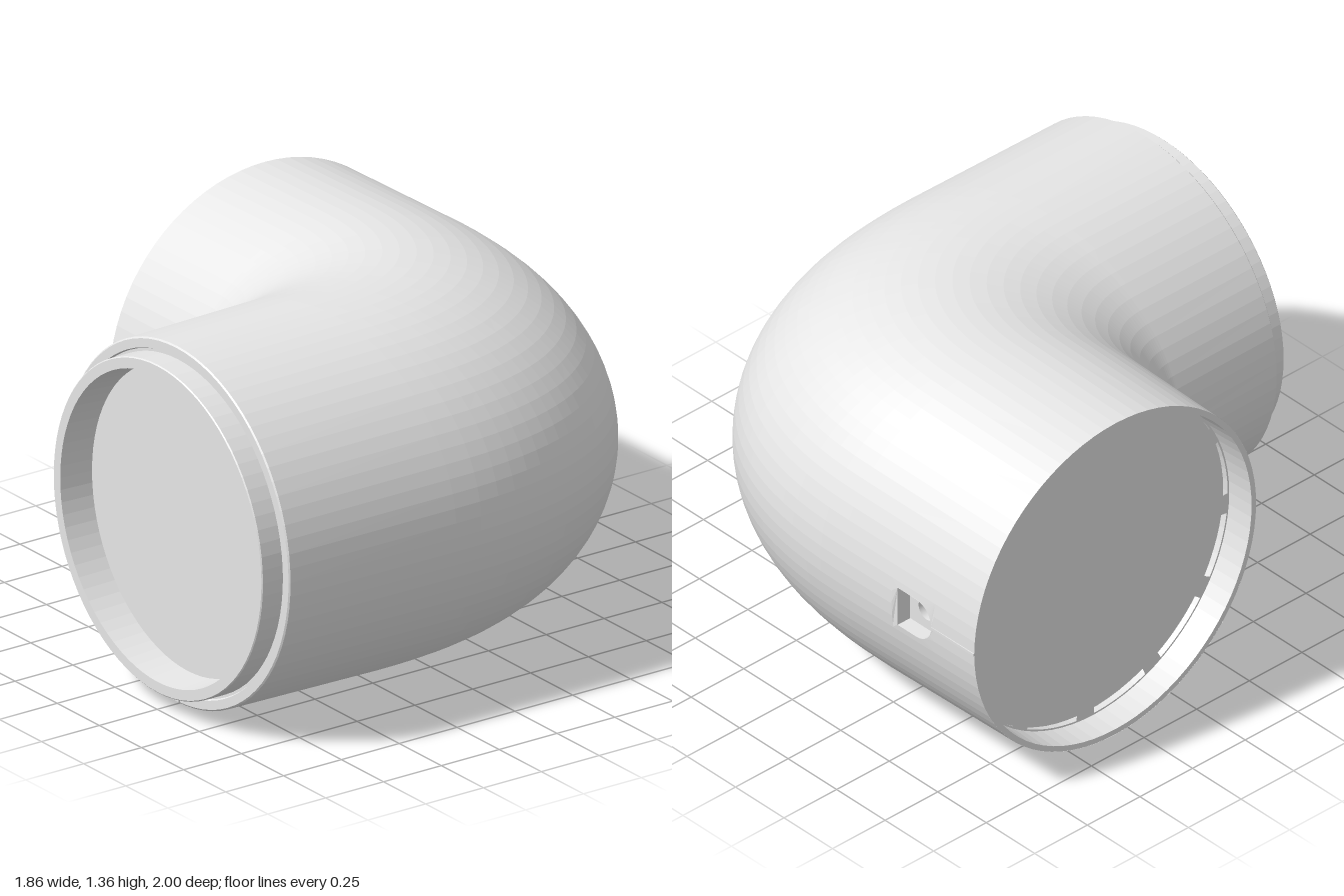
import * as THREE from 'three';

const plastic = new THREE.MeshStandardMaterial({ color: 0xe6e6e6, side: THREE.DoubleSide });
plastic.name = 'light grey plastic';

const CY = 0.6875;     // height of the pipe axis
const SOCKET_Z = -0.3225; // axis of the side end
const SPIGOT_X = 0.2525;  // axis of the front end
const SEG = 80;

const lerp = (a, b, t) => a + (b - a) * t;

function faceted(geometry) {
  const g = geometry.index ? geometry.toNonIndexed() : geometry;
  g.computeVertexNormals();
  return g;
}

function add(group, name, geometry) {
  const mesh = new THREE.Mesh(geometry, plastic);
  mesh.name = name;
  group.add(mesh);
  return mesh;
}

function lathe(points) {
  return faceted(new THREE.LatheGeometry(points.map(p => new THREE.Vector2(...p)), SEG));
}

// Each station is an inner point, an outer point and a vertical radius.
function elbowStations() {
  const list = [];
  for (const v of [0, 0.31, 0.62]) {
    list.push({
      ix: lerp(-0.93, -0.53, v), iz: lerp(0.347, 0.355, v),
      ox: lerp(-0.93, -0.25, v), oz: lerp(-0.992, -1, v), ry: lerp(0.67, 0.682, v),
    });
  }
  // the outer bend is a slightly squared ellipse, the inner bend a tight fillet
  const n = 28, power = 2 / 2.4;
  for (let i = 0; i <= n; i++) {
    const a = (i / n) * Math.PI / 2, s = Math.sin(a), c = Math.max(0, Math.cos(a));
    list.push({
      ix: -0.53 + 0.105 * s, iz: 0.46 - 0.105 * c,
      ox: -0.25 + 1.18 * s ** power, oz: 0.2 - 1.2 * c ** power, ry: 0.682,
    });
  }
  list.push({ ix: -0.42, iz: 0.915, ox: 0.925, oz: 0.915, ry: 0.6725 });
  return list;
}

function elbowGeometry() {
  const stations = elbowStations(), pos = [], index = [];
  for (const s of stations) {
    for (let j = 0; j < SEG; j++) {
      const a = (j / SEG) * Math.PI * 2, k = Math.cos(a) / 2;
      pos.push((s.ix + s.ox) / 2 + (s.ox - s.ix) * k,
        CY + s.ry * Math.sin(a),
        (s.iz + s.oz) / 2 + (s.oz - s.iz) * k);
    }
  }
  for (let i = 0; i < stations.length - 1; i++) {
    for (let j = 0; j < SEG; j++) {
      // leave an opening for the screw pocket panel
      if (i === 1 && (j < 2 || j >= SEG - 2)) continue;
      const j2 = (j + 1) % SEG;
      const a = i * SEG + j, b = i * SEG + j2, c = a + SEG, d = b + SEG;
      index.push(a, b, c, b, d, c);
    }
  }
  const g = new THREE.BufferGeometry();
  g.setAttribute('position', new THREE.Float32BufferAttribute(pos, 3));
  g.setIndex(index);
  return faceted(g);
}

// U-shaped outline, flat toward the bend and round toward the rim
function pocketPath(Type) {
  const p = new Type();
  p.moveTo(-0.535, -0.08);
  p.lineTo(-0.535, 0.08);
  p.lineTo(-0.63, 0.08);
  p.absarc(-0.63, 0, 0.08, Math.PI / 2, Math.PI * 1.5, false);
  p.lineTo(-0.535, -0.08);
  return p;
}

function screwPocket() {
  const group = new THREE.Group();
  group.name = 'screwPocket';

  // curved panel filling the opening in the pipe wall
  const outline = new THREE.Shape();
  const h = 0.106;
  outline.moveTo(-0.722, -h);
  for (const y of [-h, -0.053, 0, 0.053, h]) outline.lineTo(-0.505, y);
  for (const y of [h, 0.053, 0, -0.053]) outline.lineTo(-0.722, y);
  outline.holes.push(pocketPath(THREE.Path));
  const panel = new THREE.ShapeGeometry(outline, 12);
  const p = panel.attributes.position;
  for (let i = 0; i < p.count; i++) {
    const r = lerp(0.6695, 0.6775, (p.getX(i) + 0.93) / 0.68);
    p.setZ(i, -Math.sqrt(r * r - p.getY(i) ** 2));
  }
  add(group, 'pocketPanel', faceted(panel));

  // pocket walls
  const pts = pocketPath(THREE.Shape).getPoints(12), wall = [];
  for (let i = 0; i < pts.length - 1; i++) {
    const a = pts[i], b = pts[i + 1], top = -0.67, low = -0.61;
    wall.push(a.x, a.y, top, b.x, b.y, top, a.x, a.y, low,
      b.x, b.y, top, b.x, b.y, low, a.x, a.y, low);
  }
  const walls = new THREE.BufferGeometry();
  walls.setAttribute('position', new THREE.Float32BufferAttribute(wall, 3));
  add(group, 'pocketWalls', faceted(walls));

  // pocket floor with a bored screw hole
  const floor = pocketPath(THREE.Shape);
  floor.holes.push(new THREE.Path().absarc(-0.62, 0, 0.042, 0, Math.PI * 2, true));
  add(group, 'pocketFloor', new THREE.ShapeGeometry(floor, 12)).position.z = -0.61;
  const bore = lathe([[0.042, 0], [0.042, 0.06], [0, 0.06]]);
  bore.rotateX(Math.PI / 2);
  add(group, 'screwBore', bore).position.set(-0.62, 0, -0.61);

  // fine seam running from the pocket to the rim
  const seam = add(group, 'wallSeam', new THREE.BoxGeometry(0.22, 0.01, 0.009));
  seam.position.set(-0.82, 0, -0.6695);

  group.position.set(0, CY, SOCKET_Z);
  return group;
}

// Side end: thin rim, recessed slotted plate and a floor behind it
function socketEnd() {
  const group = new THREE.Group();
  group.name = 'socketEnd';
  const rim = lathe([[0.6695, 0.93], [0.648, 0.93], [0.642, 0.79], [0, 0.79]]);
  rim.rotateZ(Math.PI / 2);
  add(group, 'socketRim', rim);

  const plate = new THREE.Shape().absarc(0, 0, 0.643, 0, Math.PI * 2, false);
  const slots = 12;
  for (let i = 0; i < slots; i++) {
    const a = (i / slots) * Math.PI * 2, b = a + Math.PI * 2 / slots * 0.75;
    const slot = new THREE.Path();
    slot.absarc(0, 0, 0.636, a, b, false);
    slot.absarc(0, 0, 0.605, b, a, true);
    slot.closePath();
    plate.holes.push(slot);
  }
  const disc = new THREE.ShapeGeometry(plate, 40);
  disc.rotateY(-Math.PI / 2);
  add(group, 'slottedPlate', disc).position.x = -0.82;
  group.position.set(0, CY, SOCKET_Z);
  return group;
}

// Front end: shoulder, shallow groove, flat-rimmed spigot and recessed closing plate
function spigotEnd() {
  const group = new THREE.Group();
  group.name = 'spigotEnd';
  const spigot = lathe([
    [0.6725, 0.915], [0.667, 0.92], [0.634, 0.92], [0.63, 0.91], [0.62, 0.91],
    [0.62, 0.996], [0.616, 1], [0.5775, 1], [0.5675, 0.87], [0, 0.87],
  ]);
  spigot.rotateX(Math.PI / 2);
  add(group, 'spigot', spigot);
  const key = add(group, 'alignmentKey', new THREE.BoxGeometry(0.045, 0.035, 0.03));
  key.position.set(0, -0.648, 0.91);
  group.position.set(SPIGOT_X, CY, 0);
  return group;
}

export function createModel() {
  const model = new THREE.Group();
  model.name = 'pipeElbow';
  add(model, 'elbowBody', elbowGeometry());
  model.add(socketEnd(), spigotEnd(), screwPocket());
  return model;
}
